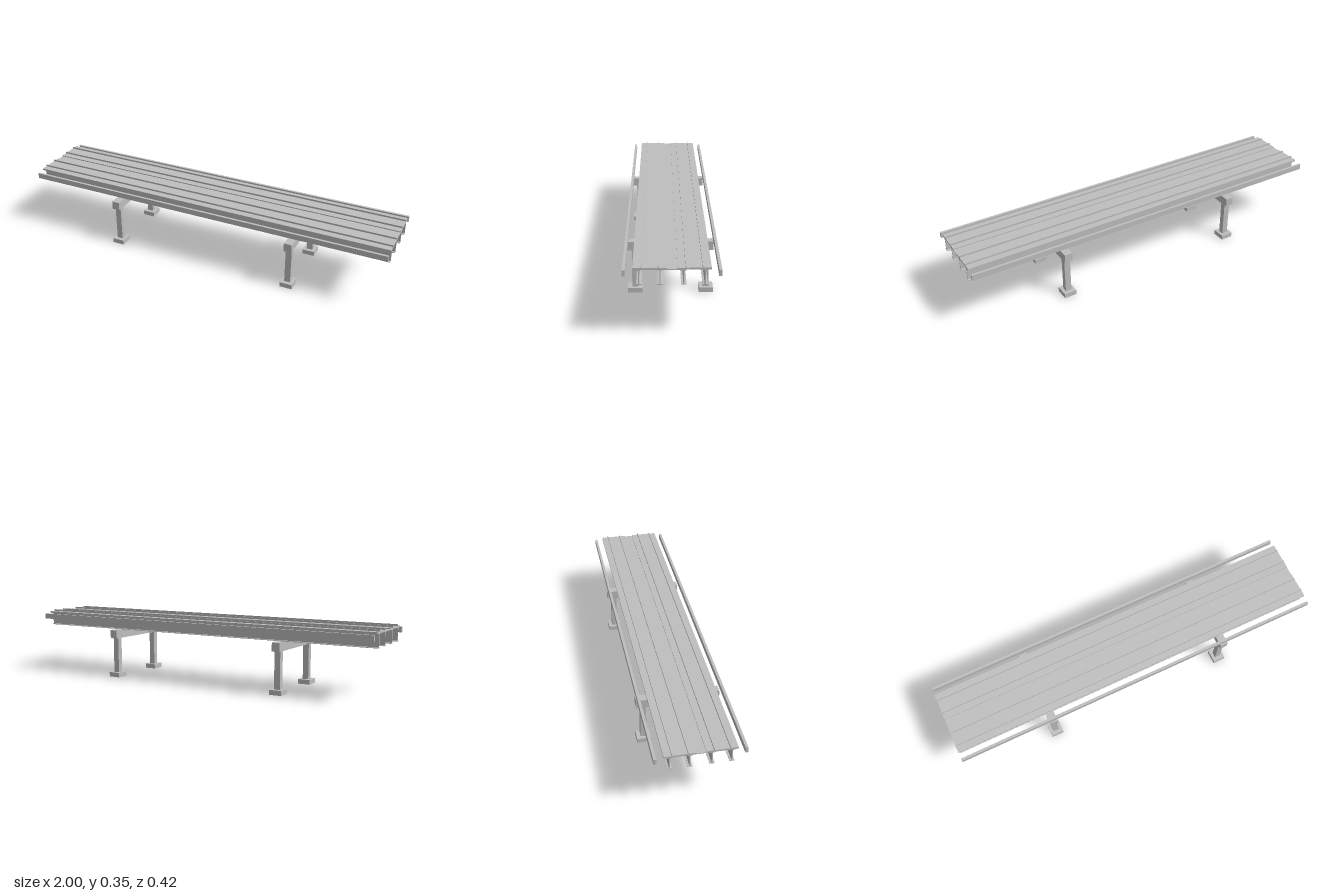
import * as THREE from 'three';

export function createModel() {
  const model = new THREE.Group();
  model.name = 'railwayViaduct';
  const concrete = new THREE.MeshStandardMaterial({ color: 0xbebebe, side: THREE.DoubleSide });
  concrete.name = 'concreteGrey';

  const add = (name, geometry, x, y, z) => {
    const mesh = new THREE.Mesh(geometry, concrete);
    mesh.name = name;
    mesh.position.set(x, y, z);
    model.add(mesh);
    return mesh;
  };
  // Box given by its length along x and its y and z ranges
  const bar = (name, x, length, y0, y1, z0, z1) =>
    add(name, new THREE.BoxGeometry(length, y1 - y0, Math.abs(z1 - z0)), x, (y0 + y1) / 2, (z0 + z1) / 2);

  // I-shaped girder section, extruded along the span
  const y0 = 0.264, y1 = 0.333, flange = 0.0115, web = 0.0022, t = 0.003;
  const half = [[flange, y0], [flange, y0 + t], [web, y0 + t + 0.001],
    [web, y1 - t - 0.001], [flange, y1 - t], [flange, y1]];
  const outline = [...half, ...half.map(([x, y]) => [-x, y]).reverse()];
  const girder = new THREE.ExtrudeGeometry(
    new THREE.Shape(outline.map(([x, y]) => new THREE.Vector2(x, y))),
    { depth: 2, bevelEnabled: false });
  girder.translate(0, 0, -1).rotateY(Math.PI / 2);

  // Footing shell, open underneath
  const footing = new THREE.BoxGeometry(0.066, 0.025, 0.07);
  const faces = Array.from(footing.index.array);
  faces.splice(18, 6);
  footing.setIndex(faces);
  footing.clearGroups();

  // Deck: two track slabs joined by a thin central strip
  bar('centreStrip', 0, 2, 0.333, 0.337, -0.022, 0.022);
  for (const s of [-1, 1]) {
    bar('trackSlab', 0, 2, 0.333, 0.342, s * 0.022, s * 0.1675);
    for (const z of [0.0585, 0.131]) bar('rail', 0, 2, 0.342, 0.351, s * z - 0.0017, s * z + 0.0017);
    for (const z of [0.05, 0.1405]) add('girder', girder, 0, 0, s * z);
    bar('edgeBeam', 0, 2, 0.303, 0.332, s * 0.199, s * 0.212);
  }

  // Two portal piers
  for (const x of [-0.5, 0.5]) {
    bar('pierCap', x, 0.042, 0.218, 0.263, -0.208, 0.208);
    for (const s of [-1, 1]) {
      bar('column', x, 0.032, 0.025, 0.218, s * 0.158, s * 0.187);
      add('footing', footing, x, 0.0125, s * 0.173);
    }
  }
  return model;
}
